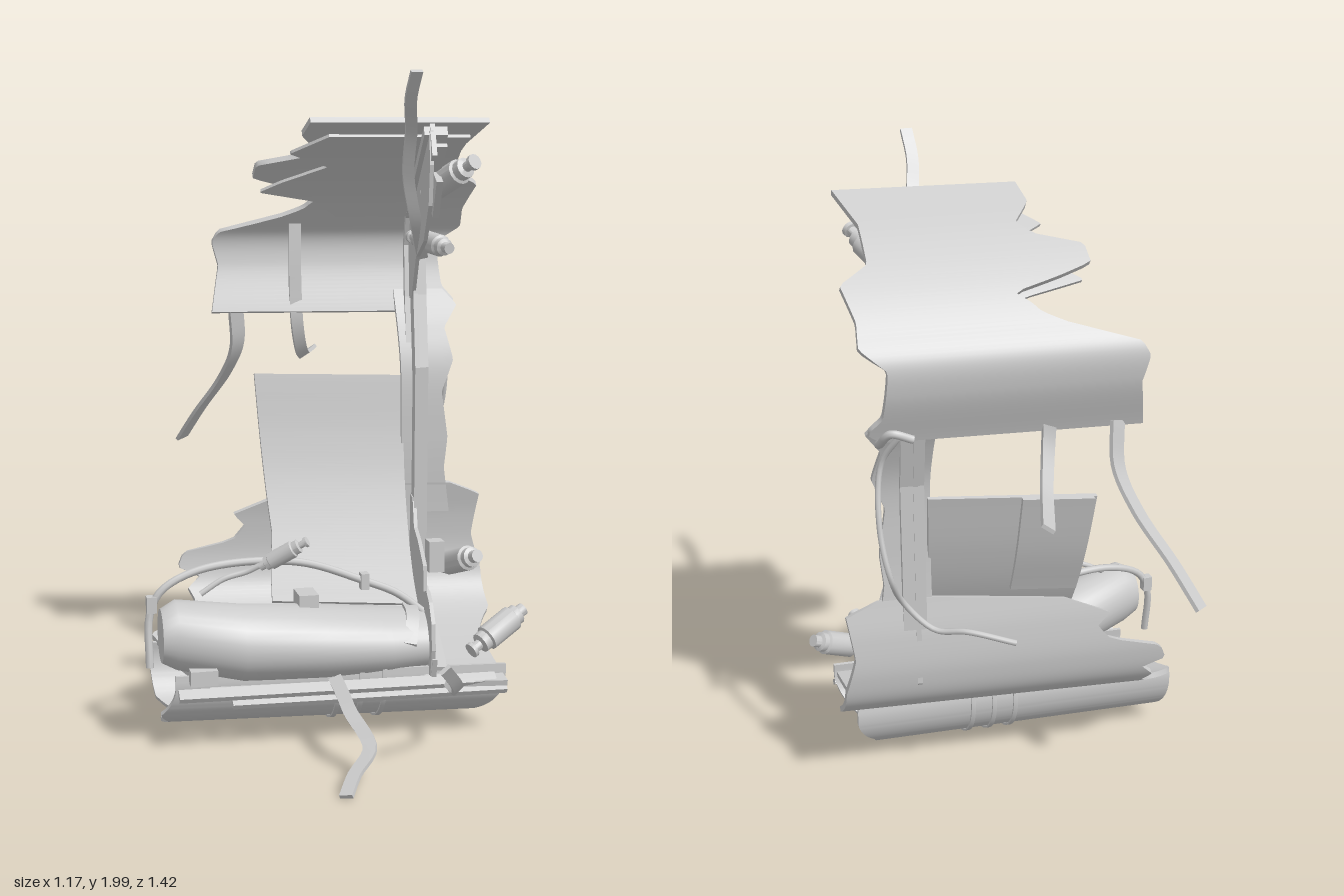
import * as THREE from 'three';
import { toCreasedNormals } from 'three/addons/utils/BufferGeometryUtils.js';

const V = (p) => new THREE.Vector3(...p);
const mat = new THREE.MeshStandardMaterial({ color: 0xcccccc, side: THREE.DoubleSide });

export function createModel() {
  const root = new THREE.Group();
  const add = (name, geo) => {
    const m = new THREE.Mesh(geo, mat);
    m.name = name;
    root.add(m);
    return m;
  };

  // Closed solid through equal cross-sections, always facing outward
  function loft(rings, crease = 0.7) {
    const n = rings[0].length, tris = [];
    for (let i = 0; i < rings.length - 1; i++)
      for (let j = 0; j < n; j++) {
        const k = (j + 1) % n, a = rings[i], b = rings[i + 1];
        tris.push(a[j], a[k], b[k], a[j], b[k], b[j]);
      }
    const first = rings[0], last = rings[rings.length - 1];
    for (let j = 1; j < n - 1; j++)
      tris.push(first[0], first[j + 1], first[j], last[0], last[j], last[j + 1]);
    let volume = 0;
    const c = new THREE.Vector3();
    for (let i = 0; i < tris.length; i += 3)
      volume += tris[i].dot(c.crossVectors(tris[i + 1], tris[i + 2]));
    if (volume < 0) tris.reverse();
    return toCreasedNormals(new THREE.BufferGeometry().setFromPoints(tris), crease);
  }

  // Value at a key in a list of [key, value] with falling keys
  function lookup(list, key) {
    if (key >= list[0][0]) return list[0][1];
    for (let i = 1; i < list.length; i++)
      if (key >= list[i][0]) {
        const [k0, v0] = list[i - 1], [k1, v1] = list[i];
        return v0 + (v1 - v0) * (key - k0) / (k1 - k0);
      }
    return list[list.length - 1][1];
  }

  // Torn plate: a [z, y] profile drawn along x, slanted by skew, with ragged ends
  function plate(name, profile, left, right, { skew = 0.15, thick = 0.018, key = 'y', rows = 64 } = {}) {
    const curve = new THREE.CatmullRomCurve3(profile.map(([z, y]) => V([0, y, z])), false, 'centripetal');
    const rings = [];
    for (let i = 0; i <= rows; i++) {
      const p = curve.getPointAt(i / rows), t = curve.getTangentAt(i / rows);
      const l = lookup(left, p[key]), r = lookup(right, p[key]);
      const at = (x, d) => V([x, p.y + t.z * d, p.z - t.y * d + skew * (x - 0.35)]);
      rings.push([at(l, 0), at(r, 0), at(r, thick), at(l, thick)]);
    }
    add(name, loft(rings));
  }

  plate('upperShell',
    [[0.13, 1.87], [-0.05, 1.77], [-0.2, 1.66], [-0.285, 1.575], [-0.34, 1.5], [-0.34, 1.41], [-0.285, 1.25]],
    [[1.87, -0.06], [1.83, -0.07], [1.79, -0.01], [1.765, -0.05], [1.74, -0.18], [1.7, -0.18], [1.675, -0.08],
      [1.645, 0.06], [1.62, 0.02], [1.6, 0.0], [1.575, -0.06], [1.52, -0.26], [1.48, -0.28], [1.4, -0.26], [1.25, -0.29]],
    [[1.87, 0.47], [1.8, 0.43], [1.72, 0.44], [1.68, 0.53], [1.6, 0.51], [1.54, 0.52], [1.48, 0.45], [1.33, 0.46], [1.28, 0.5], [1.25, 0.46]]);

  // Second skin under the roof
  plate('roofLining', [[0.11, 1.82], [-0.05, 1.725], [-0.18, 1.63], [-0.24, 1.57]],
    [[1.82, 0.0], [1.77, -0.1], [1.73, 0.03], [1.68, -0.1], [1.65, -0.16], [1.62, 0.02], [1.57, 0.1]],
    [[1.82, 0.42], [1.7, 0.4], [1.57, 0.42]], { thick: 0.01 });

  plate('lowerShell',
    [[-0.2, 0.7], [-0.222, 0.58], [-0.225, 0.45], [-0.195, 0.35], [-0.1, 0.27], [0.12, 0.205], [0.32, 0.17]],
    [[0.7, 0.3], [0.66, -0.1], [0.6, -0.24], [0.56, -0.2], [0.51, -0.24], [0.47, -0.4], [0.42, -0.42], [0.39, -0.35],
      [0.35, -0.39], [0.31, -0.37], [0.27, -0.42], [0.24, -0.53], [0.2, -0.48], [0.17, -0.4]],
    [[0.7, 0.46], [0.66, 0.56], [0.52, 0.54], [0.4, 0.57], [0.28, 0.57], [0.23, 0.5], [0.17, 0.49]]);

  plate('backPillar', [[-0.3, 1.32], [-0.24, 1.2], [-0.2, 1.08], [-0.19, 0.85], [-0.2, 0.6]],
    [[1.32, 0.3], [0.6, 0.3]],
    [[1.32, 0.46], [1.27, 0.5], [1.2, 0.45], [1.1, 0.47], [1, 0.43], [0.85, 0.45], [0.75, 0.44], [0.6, 0.46]], { thick: 0.012 });

  const backLine = [[-0.24, 1.045], [-0.19, 0.85], [-0.135, 0.7], [-0.055, 0.55], [0.03, 0.43], [0.1, 0.36]];
  plate('backrest', backLine,
    [[1.05, -0.15], [0.8, -0.14], [0.55, -0.13], [0.35, -0.16]],
    [[1.05, 0.32], [0.7, 0.3], [0.35, 0.28]], { skew: 0.3, thick: 0.012 });
  // Thin pad behind the backrest
  plate('backrestPad', backLine.slice(0, 3), [[1.05, -0.14], [0.7, -0.13]], [[1.05, 0.06]], { skew: 0.3, thick: -0.012 });

  // Half-round trough below the floor, with hoops
  const arc = (r) => Array.from({ length: 17 }, (_, i) => {
    const a = -0.15 + (Math.PI + 0.4) * i / 16;
    return [0.12 + r * Math.cos(a), 0.2 - r * Math.sin(a)];
  });
  plate('trough', arc(0.162),
    [[0.28, -0.5], [0.24, -0.54], [0.19, -0.51], [0.14, -0.53], [0.08, -0.48], [0.02, -0.53], [-0.04, -0.54]],
    [[0.28, 0.5], [0.2, 0.44], [0.1, 0.4], [0, 0.44], [-0.04, 0.5]], { skew: 0.1, thick: -0.012, key: 'z' });
  for (const x of [-0.02, 0.05, 0.12])
    plate('troughHoop', arc(0.17), [[1, x]], [[1, x + 0.014]], { skew: 0.1, thick: -0.006, key: 'z', rows: 32 });

  // Stepped dish closing the trough
  const dish = [[0, 0], [0.075, 0], [0.085, 0.03], [0.105, 0.035], [0.115, 0.06], [0.135, 0.065], [0.15, 0.09]];
  const dishGeo = new THREE.LatheGeometry(dish.map(([r, h]) => new THREE.Vector2(r, h)), 32).rotateZ(-Math.PI / 2);
  add('innerDish', toCreasedNormals(dishGeo, 0.6)).position.set(0.19, 0.197, 0.113);

  // Long ledges along the front of the floor
  for (const [y, z, x0, x1] of [[0.19, 0.29, -0.5, 0.46], [0.155, 0.27, -0.34, 0.5]])
    plate('floorLedge', [[z, y], [z + 0.03, y - 0.02]], [[1, x0]], [[1, x1]], { skew: 0.05, rows: 2 });

  // Rounded seat cushion: x, centre y, centre z, half height, half depth
  const seat = [[-0.545, 0.36, 0.215, 0.08, 0.075], [-0.5, 0.36, 0.212, 0.105, 0.092], [-0.3, 0.315, 0.185, 0.115, 0.12],
    [-0.05, 0.295, 0.16, 0.11, 0.145], [0.15, 0.28, 0.145, 0.1, 0.145], [0.28, 0.275, 0.135, 0.09, 0.14]];
  add('seatCushion', loft(seat.map(([x, y, z, h, d]) => Array.from({ length: 32 }, (_, j) => {
    const a = j / 32 * Math.PI * 2;
    return V([x, y + h * Math.sin(a), z + d * Math.cos(a)]);
  })), 0.9));

  // Side parts cut from [z, y] outlines
  function side(name, outline, x, depth) {
    const shape = new THREE.Shape(outline.map((p) => new THREE.Vector2(...p)));
    const geo = new THREE.ExtrudeGeometry(shape, { depth, bevelEnabled: false }).rotateY(-Math.PI / 2);
    const m = add(name, geo);
    m.position.x = x + depth / 2;
    m.rotation.y = -0.15;
  }
  const spine = [[0.17, 1.83], [-0.25, 1.57], [-0.29, 1.47], [-0.26, 1.3], [-0.2, 1.08], [-0.2, 0.42], [-0.13, 0.32], [0.3, 0.18]];
  // Band of given width around the spine line
  const band = (w, shift = 0) => {
    const normals = spine.map((_, i) => {
      const a = spine[Math.max(i - 1, 0)], b = spine[Math.min(i + 1, spine.length - 1)];
      const l = Math.hypot(b[0] - a[0], b[1] - a[1]);
      return [(a[1] - b[1]) / l, (b[0] - a[0]) / l];
    });
    const edge = (d) => spine.map((p, i) => [p[0] + normals[i][0] * d, p[1] + normals[i][1] * d]);
    return [...edge(shift - w / 2), ...edge(shift + w / 2).reverse()];
  };
  side('sideRib', band(0.03), 0.325, 0.07);
  side('ribFlange', band(0.11, 0.03), 0.315, 0.015);
  side('ribTrim', band(0.012, 0.05), 0.335, 0.04);
  side('upperGusset', [[0.17, 1.83], [0.19, 1.73], [0.17, 1.61], [0.07, 1.5], [-0.1, 1.44], [-0.2, 1.3], [-0.26, 1.3],
    [-0.29, 1.47], [-0.25, 1.57]], 0.31, 0.012);
  side('lowerGusset', [[0.3, 0.19], [0.33, 0.29], [0.32, 0.37], [0.26, 0.42], [0.2, 0.44], [0.14, 0.42], [0.13, 0.5],
    [0.0, 0.55], [-0.09, 0.57], [-0.13, 0.66], [-0.2, 0.66], [-0.2, 0.42], [-0.13, 0.32]], 0.31, 0.012);
  side('mountPlate', [[0.16, 1.68], [0.08, 1.57], [-0.02, 1.64], [0.05, 1.72]], 0.34, 0.02);

  // Flat loose straps
  function strap(name, pts, width, across = [1, 0, 0]) {
    const curve = new THREE.CatmullRomCurve3(pts.map(V), false, 'centripetal');
    const rings = [];
    for (let i = 0; i <= 24; i++) {
      const p = curve.getPointAt(i / 24), t = curve.getTangentAt(i / 24);
      const w = V(across).addScaledVector(t, -V(across).dot(t)).normalize().multiplyScalar(width / 2);
      const h = t.clone().cross(w).setLength(0.006);
      rings.push([[1, 1], [1, -1], [-1, -1], [-1, 1]].map(([a, b]) => p.clone().addScaledVector(w, a).addScaledVector(h, b)));
    }
    add(name, loft(rings));
  }
  strap('roofStrap', [[0.2, 1.995, 0.3], [0.2, 1.92, 0.24], [0.225, 1.83, 0.16], [0.24, 1.7, 0.08], [0.29, 1.55, 0.0], [0.34, 1.44, -0.1]], 0.035);
  strap('middleStrap', [[-0.02, 1.54, -0.34], [-0.02, 1.35, -0.34], [-0.01, 1.2, -0.35], [0.02, 1.11, -0.42], [0.06, 1.095, -0.53], [0.1, 1.095, -0.64]],
    0.04, [0.8, 0.5, 0]);
  strap('longStrap', [[-0.21, 1.27, -0.38], [-0.2, 1.14, -0.42], [-0.23, 1.03, -0.5], [-0.3, 0.9, -0.6], [-0.35, 0.79, -0.69]],
    0.055, [0.8, 0.4, -0.4]);
  strap('floorStrap', [[-0.03, 0.21, 0.27], [-0.03, 0.19, 0.38], [-0.03, 0.17, 0.46], [0, 0.1, 0.57], [-0.06, 0.05, 0.63], [-0.1, 0.016, 0.695]],
    0.04, [0.9, 0.3, 0.3]);
  strap('cornerStrap', [[0.32, 0.23, 0.15], [0.31, 0.19, 0.32], [0.3, 0.2, 0.43], [0.27, 0.25, 0.52], [0.2, 0.335, 0.63]],
    0.035, [0.7, 0.6, 0]);
  strap('sideStrap', [[0.24, 0.38, 0.12], [0.23, 0.37, 0.2], [0.2, 0.3, 0.28]], 0.04);

  // Pipes and cables
  function cable(name, pts, r) {
    add(name, new THREE.TubeGeometry(new THREE.CatmullRomCurve3(pts.map(V)), 48, r, 8));
  }
  cable('seatPipe', [[-0.57, 0.24, 0.14], [-0.565, 0.4, 0.12], [-0.53, 0.47, 0.12], [-0.4, 0.525, 0.1], [-0.1, 0.52, 0.065],
    [0.1, 0.46, 0.11], [0.2, 0.42, 0.13], [0.28, 0.36, 0.15]], 0.012);
  cable('pistonWire', [[-0.42, 0.47, 0.18], [-0.35, 0.51, 0.175], [-0.28, 0.53, 0.18], [-0.24, 0.55, 0.19]], 0.009);
  cable('backCable', [[0.42, 1.27, -0.3], [0.46, 1.18, -0.26], [0.48, 1.0, -0.3], [0.46, 0.85, -0.33], [0.41, 0.74, -0.29],
    [0.33, 0.66, -0.33], [0.25, 0.67, -0.39], [0.12, 0.64, -0.45]], 0.009);
  cable('backHook', [[0.4, 1.3, -0.39], [0.46, 1.32, -0.38], [0.48, 1.28, -0.34], [0.47, 1.25, -0.28]], 0.012);

  // Pistons: a turned barrel with a rod at each end
  const turned = [[0, 0], [0.5, 0], [0.5, 0.1], [0.8, 0.12], [0.8, 0.2], [1, 0.22], [1, 0.7], [0.8, 0.72], [0.8, 0.82],
    [0.4, 0.84], [0.4, 0.94], [0.6, 0.95], [0.6, 1], [0, 1]];
  function piston(name, a, b, r) {
    const d = V(b).sub(V(a)), len = d.length();
    const geo = new THREE.LatheGeometry(turned.map(([x, y]) => new THREE.Vector2(x * r, y * len)), 14);
    const m = add(name, toCreasedNormals(geo, 0.6));
    m.position.set(...a);
    m.quaternion.setFromUnitVectors(V([0, 1, 0]), d.normalize());
  }
  piston('upperPiston', [0.32, 1.64, -0.01], [0.41, 1.74, 0.2], 0.04);
  piston('neckPiston', [0.385, 1.475, 0.04], [0.34, 1.5, -0.23], 0.034);
  piston('hipPiston', [0.47, 0.515, 0.1], [0.41, 0.43, -0.13], 0.04);
  piston('footPiston', [0.58, 0.37, 0.22], [0.39, 0.27, 0.29], 0.04);
  piston('seatPiston', [-0.24, 0.545, 0.19], [-0.11, 0.63, 0.25], 0.026);

  // Small blocks on the seat, pipe and side
  for (const [x, y, z, w, h, d] of [[-0.09, 0.42, 0.14, 0.06, 0.05, 0.09], [-0.43, 0.25, 0.29, 0.08, 0.045, 0.04],
    [0.1, 0.46, 0.11, 0.025, 0.05, 0.035], [-0.56, 0.43, 0.12, 0.03, 0.05, 0.03], [0.37, 0.49, -0.03, 0.05, 0.1, 0.05]])
    add('block', new THREE.BoxGeometry(w, h, d)).position.set(x, y, z);

  return root;
}
